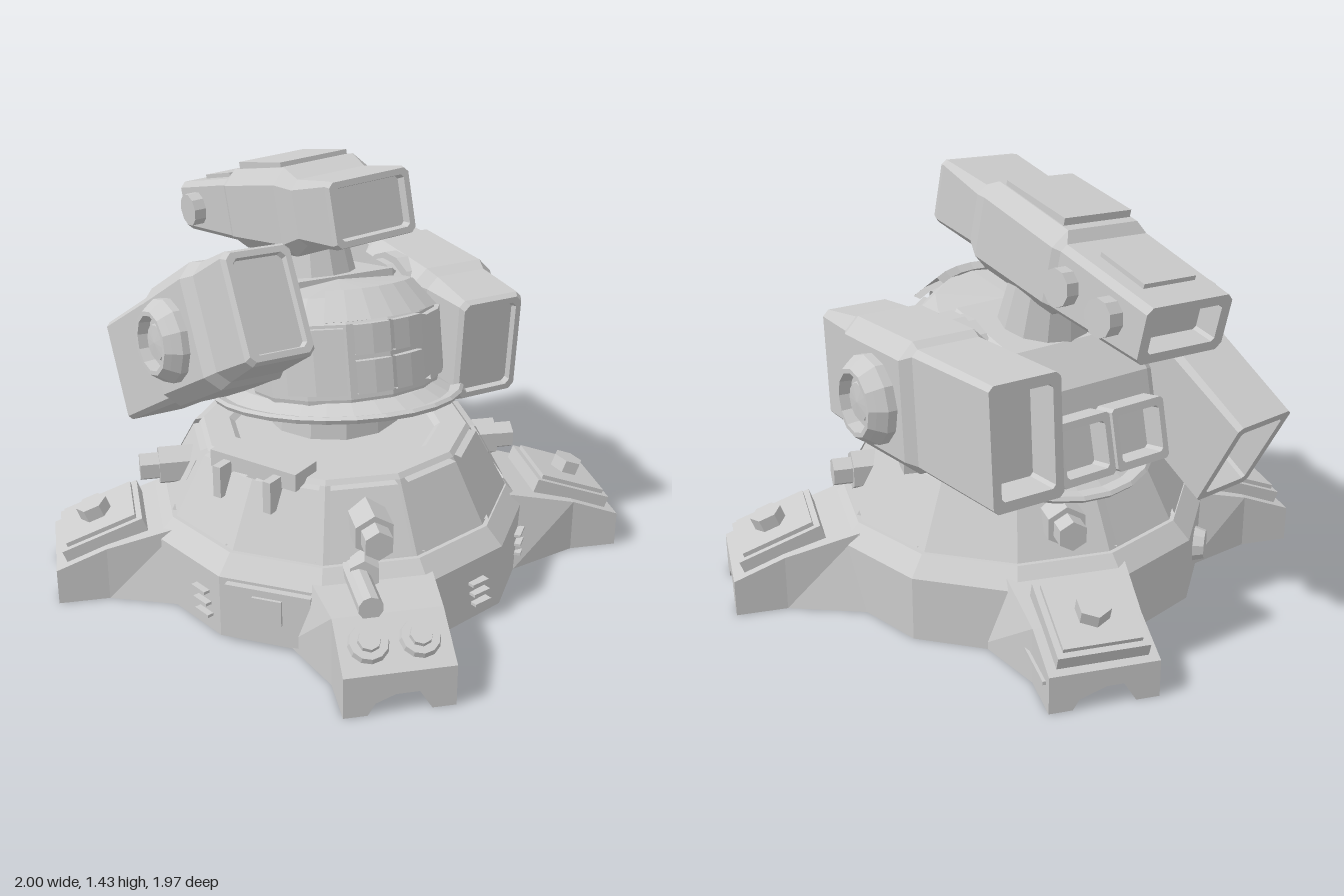
import * as THREE from 'three';

const mat = new THREE.MeshStandardMaterial({ color: 0xcccccc, flatShading: true });
const thin = new THREE.MeshStandardMaterial({ color: 0xcccccc, flatShading: true, side: THREE.DoubleSide });
const PI = Math.PI;

function add(parent, name, geo, pos = [0, 0, 0], rot = [0, 0, 0], material = mat) {
  const m = new THREE.Mesh(geo, material);
  m.name = name;
  m.position.set(...pos);
  m.rotation.set(...rot);
  parent.add(m);
  return m;
}

function group(parent, name, pos = [0, 0, 0], rot = [0, 0, 0]) {
  const g = new THREE.Group();
  g.name = name;
  g.position.set(...pos);
  g.rotation.set(...rot, 'YXZ');
  parent.add(g);
  return g;
}

const box = (w, h, d) => new THREE.BoxGeometry(w, h, d);
const cyl = (r1, r2, h, n = 12) => new THREE.CylinderGeometry(r1, r2, h, n);
const lathe = (pts, n, start = 0, len = 2 * PI) =>
  new THREE.LatheGeometry(pts.map(p => new THREE.Vector2(...p)), n, start, len);

// Chamfered rectangles [z, width, height, chamfer] joined along z; stepping back in z makes a recess
function loft(sections) {
  const pos = [];
  const rings = sections.map(([z, w, h, c]) => {
    const a = w / 2, b = h / 2;
    return [[a, c - b], [a, b - c], [a - c, b], [c - a, b], [-a, b - c], [-a, c - b], [c - a, -b], [a - c, -b]]
      .map(([x, y]) => [x, y, z]);
  });
  for (let i = 0; i < rings.length - 1; i++) {
    for (let k = 0; k < 8; k++) {
      const n = (k + 1) % 8, p = rings[i], q = rings[i + 1];
      pos.push(...p[k], ...p[n], ...q[n], ...p[k], ...q[n], ...q[k]);
    }
  }
  const first = rings[0], last = rings[rings.length - 1];
  for (let k = 1; k < 7; k++) {
    pos.push(...first[0], ...first[k + 1], ...first[k]);
    pos.push(...last[0], ...last[k], ...last[k + 1]);
  }
  const g = new THREE.BufferGeometry();
  g.setAttribute('position', new THREE.Float32BufferAttribute(pos, 3));
  g.computeVertexNormals();
  return g;
}

// Stabiliser foot along +z: flared at the drum, sloping down, with a short notch under the toe.
// tops holds the deck height at the root, the middle and the toe.
function footGeometry(tops) {
  const s = new THREE.Shape();
  [[-0.175, 0], [-0.1, 0], [-0.06, 0.065], [0.06, 0.065], [0.1, 0], [0.175, 0], [0.175, 0.2], [-0.175, 0.2]]
    .forEach(([x, y], i) => (i ? s.lineTo(x, y) : s.moveTo(x, y)));
  const g = new THREE.ExtrudeGeometry(s, { depth: 2, steps: 2, bevelEnabled: false });
  const p = g.attributes.position;
  for (let i = 0; i < p.count; i++) {
    const ring = Math.round(p.getZ(i)), y = p.getY(i);
    if (y > 0.1) p.setY(i, tops[ring]);
    else if (y > 0.01 && ring < 2) p.setY(i, 0.001);
    if (ring === 0) p.setX(i, p.getX(i) * (y > 0.1 ? 1.15 : 1.55));
    p.setZ(i, [0.58, 0.83, 1][ring]);
  }
  g.computeVertexNormals();
  return g;
}

function buildBase(root) {
  const base = group(root, 'base', [-0.012, 0, 0]);
  const edge = PI / 12;
  add(base, 'drum', lathe([[0, 0], [0.67, 0], [0.67, 0.22], [0.61, 0.28], [0.595, 0.28], [0.475, 0.5],
    [0.46, 0.515], [0.37, 0.515], [0.35, 0.5], [0, 0.5]], 12, edge));

  // Raised armour plates, one on each sloping facet
  const half = 0.225, k = Math.cos(edge) / Math.cos(half);
  const plate = [[0.595, 0.29], [0.61, 0.295], [0.5, 0.495], [0.475, 0.5]].map(([r, y]) => [r * k, y]);
  for (let i = 0; i < 12; i++)
    add(base, 'armourPlate', lathe(plate, 1, i * PI / 6 - half, 2 * half), [0, 0, 0], [0, 0, 0], thin);

  for (let i = 0; i < 4; i++) {
    const side = group(base, ['frontLeg', 'leftLeg', 'backLeg', 'rightLeg'][i], [0, 0, 0], [0, i * PI / 2, 0]);
    side.position.x = i % 2 ? 0.012 : 0;
    add(side, 'foot', footGeometry(i ? [0.26, 0.19, 0.125] : [0.24, 0.24, 0.14])).position.z = i % 2 ? 0 : -0.015;
    // Hexagonal stub on the cone
    const reach = [0.62, 0.56, 0.59, 0.62][i];
    add(side, 'stubCollar', cyl(0.07, 0.07, 0.14, 6), [0, 0.4, reach - 0.06], [PI / 2, 0, 0]);
    add(side, 'stubBolt', cyl(0.05, 0.05, 0.15, 6), [0, 0.4, reach], [PI / 2, 0, 0]);
    if (i) {
      const pad = group(side, 'footPad', [0, 0.2, 0.83], [0.35, 0, 0]);
      add(pad, 'padSlab', box(0.29, 0.06, 0.29));
      add(pad, 'padTop', box(0.25, 0.02, 0.25), [0, 0.035, 0]);
      add(pad, 'padBolt', cyl(0.055, 0.055, 0.06, 6), [0, 0.06, 0.01]);
    } else {
      // Front foot: round bolts and a feed pipe
      for (const x of [-0.08, 0.08]) {
        add(side, 'footBoltRing', cyl(0.06, 0.068, 0.03, 12), [x, 0.195, 0.9], [0.53, 0, 0]);
        add(side, 'footBolt', cyl(0.035, 0.04, 0.04, 8), [x, 0.203, 0.905], [0.53, 0, 0]);
      }
      add(side, 'feedPipe', cyl(0.04, 0.04, 0.29, 10), [-0.055, 0.265, 0.68], [PI / 2, 0, 0]);
      add(side, 'feedCollar', cyl(0.052, 0.052, 0.08, 6), [-0.03, 0.28, 0.62], [PI / 2, 0, 0.2]);
    }
  }

  // Triplets of small pins, a hatch and a round plug around the drum
  for (const deg of [-60, -27, 27, 60]) {
    const face = group(base, 'pinSet', [0, 0, 0], [0, deg * PI / 180, 0]);
    for (let j = 0; j < 3; j++) add(face, 'pin', box(0.07, 0.01, 0.03), [0.1 - j * 0.008, 0.06 + j * 0.04, 0.655]);
  }
  const hatch = group(base, 'hatch', [0, 0, 0], [0, -PI / 6, 0]);
  add(hatch, 'hatchPlate', box(0.29, 0.19, 0.03), [0, 0.115, 0.655]);
  add(hatch, 'hatchSquare', box(0.1, 0.09, 0.03), [0, 0.14, 0.665]);
  const plug = group(base, 'plug', [0, 0, 0], [0, -PI * 2 / 3, 0]);
  add(plug, 'plugRing', cyl(0.05, 0.065, 0.05, 10), [0, 0.12, 0.66], [PI / 2, 0, 0]);
  add(base, 'spike', box(0.01, 0.012, 0.36), [0.185, 0.1, -0.79]);

  // Brackets on the deck and the neck
  const deck = group(base, 'deckBracket', [0, 0, 0], [0, -PI / 4, 0]);
  add(deck, 'bracketBlock', box(0.34, 0.06, 0.12), [0, 0.52, 0.42]);
  for (const x of [-0.1, 0.1]) add(deck, 'bracketFin', box(0.03, 0.11, 0.1), [x, 0.475, 0.49]);
  add(base, 'deckBlock', box(0.14, 0.04, 0.14), [0.38, 0.51, -0.2]);
  add(base, 'neck', cyl(0.22, 0.24, 0.2, 12), [0.015, 0.58, -0.1]);
}

function buildBody(root) {
  const body = group(root, 'body', [-0.01, 0.83, -0.18], [-0.19, 0.31, -0.02]);

  // Oval skirt plate with a stepped rim
  const skirt = add(body, 'skirt', lathe([[0, -0.27], [0.85, -0.27], [0.98, -0.255], [1, -0.24], [0.98, -0.23],
    [0.9, -0.24], [0.78, -0.21], [0, -0.21]], 28), [0, 0, 0.03]);
  skirt.scale.set(0.42, 1, 0.54);

  // Rounded front hull and wedge-shaped rear hull
  add(body, 'frontHull', lathe([[0, -0.25], [0.31, -0.25], [0.325, -0.2], [0.325, 0.05], [0.26, 0.13], [0, 0.15]], 14),
    [0, 0, 0.12]);
  const s = new THREE.Shape([[-0.1, -0.22], [0.38, -0.22], [0.42, -0.17], [0.32, 0.06], [0.2, 0.14], [-0.1, 0.14]]
    .map(p => new THREE.Vector2(...p)));
  const rear = new THREE.ExtrudeGeometry(s, { depth: 0.44, bevelEnabled: true, bevelSize: 0.02, bevelThickness: 0.03, bevelSegments: 1 });
  rear.translate(0, 0, -0.22).rotateY(PI / 2);
  add(body, 'rearHull', rear);

  // Curved windows and brow on the front
  for (const u of [-0.2, 0.2])
    for (const [y0, y1] of [[-0.18, -0.07], [-0.05, 0.05]])
      add(body, 'windowPanel', lathe([[0.31, y0], [0.345, y0], [0.345, y1], [0.31, y1]], 2, u - 0.18, 0.36),
        [0, 0, 0.12], [0, 0, 0], thin);
  for (const u of [-0.78, 0.78])
    add(body, 'sidePanel', lathe([[0.31, -0.18], [0.345, -0.18], [0.345, 0.04], [0.31, 0.04]], 2, u - 0.3, 0.6),
      [0, 0, 0.12], [0, 0, 0], thin);
  add(body, 'brow', lathe([[0.33, 0.06], [0.355, 0.065], [0.275, 0.155], [0.25, 0.14]], 6, -0.65, 1.3),
    [0, 0, 0.12], [0, 0, 0], thin);

  // Two deep hollow rear vents
  for (const x of [-0.105, 0.105]) {
    const vent = add(body, 'rearVent', loft([[-0.08, 0.2, 0.2, 0.01], [0.09, 0.2, 0.2, 0.01],
      [0.09, 0.16, 0.15, 0.01], [-0.02, 0.16, 0.15, 0.01]]), [x, -0.09, -0.4]);
    vent.rotation.set(-0.4, PI, 0, 'YXZ');
  }

  // Axle with collars, and the top mount
  add(body, 'axle', cyl(0.15, 0.15, 0.7, 16), [0, 0, 0], [0, 0, PI / 2]);
  for (const x of [-1, 1]) {
    add(body, 'axleCollar', cyl(0.2, 0.2, 0.05, 16), [x * 0.29, 0, 0], [0, 0, PI / 2]);
    add(body, 'axleHub', cyl(0.18, 0.18, 0.03, 16), [x * 0.24, 0, 0], [0, 0, PI / 2]);
  }
  add(body, 'topMount', cyl(0.12, 0.16, 0.22, 12), [0, 0.22, -0.06]);
}

function buildPod(root, name, side, pos, rot) {
  const pod = group(root, name, pos, rot);
  add(pod, 'podShell', loft([
    [-0.5, 0.18, 0.31, 0.01], [-0.62, 0.18, 0.31, 0.01], [-0.62, 0.235, 0.375, 0.015], [-0.2, 0.25, 0.385, 0.02],
    [-0.17, 0.31, 0.42, 0.05], [0.18, 0.32, 0.43, 0.05], [0.23, 0.27, 0.4, 0.04],
    [0.42, 0.25, 0.37, 0.02], [0.44, 0.23, 0.35, 0.02], [0.44, 0.19, 0.31, 0.015], [0.42, 0.18, 0.3, 0.015]]));
  // Outer round hub
  add(pod, 'podHub', lathe([[0.145, 0], [0.145, 0.04], [0.125, 0.07], [0.11, 0.09], [0.095, 0.09], [0.09, 0.05],
    [0.065, 0.05], [0.06, 0.07], [0, 0.075]], 12), [side * 0.145, 0, 0], [0, 0, -side * PI / 2]);
}

function buildTopGun(root) {
  const gun = group(root, 'topLauncher', [-0.1, 1.215, -0.33], [-0.2, 0.35, 0.05]);
  add(gun, 'launcherShell', loft([
    [-0.46, 0.26, 0.12, 0.01], [-0.54, 0.26, 0.12, 0.01], [-0.54, 0.33, 0.18, 0.02], [-0.15, 0.35, 0.22, 0.02],
    [-0.12, 0.37, 0.28, 0.05], [0.24, 0.37, 0.3, 0.05], [0.31, 0.32, 0.22, 0.03],
    [0.52, 0.31, 0.22, 0.015], [0.54, 0.3, 0.21, 0.015], [0.54, 0.26, 0.17, 0.01], [0.51, 0.25, 0.16, 0.01]]));
  add(gun, 'lidPlate', box(0.2, 0.02, 0.2), [0, 0.105, -0.34], [-0.05, 0, 0]);
  add(gun, 'roofPlate', box(0.26, 0.03, 0.3), [0, 0.15, 0.06]);
  for (const [x, z] of [[1, -0.4], [1, -0.2], [-1, -0.4]])
    add(gun, 'sideBolt', cyl(0.06, 0.06, 0.06, 10), [x * 0.185, 0, z], [0, 0, PI / 2]);
}

export function createModel() {
  const root = new THREE.Group();
  root.name = 'turret';
  buildBase(root);
  buildBody(root);
  buildPod(root, 'leftPod', 1, [0.39, 0.81, -0.33], [0.07, 0.29, 0]);
  buildPod(root, 'rightPod', -1, [-0.42, 0.855, -0.055], [-0.52, 0.39, -0.04]);
  buildTopGun(root);
  return root;
}
